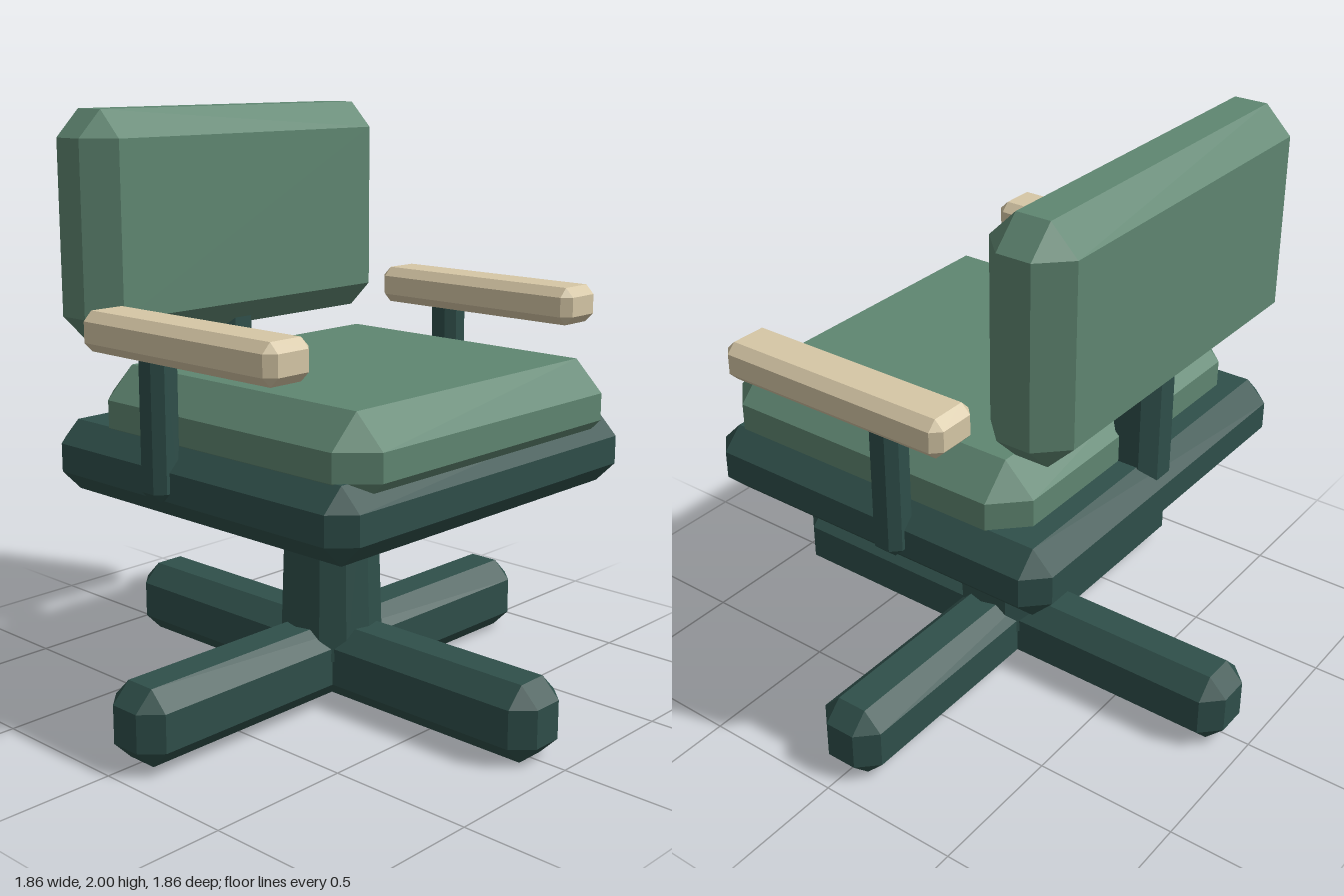
import * as THREE from 'three';
import { ConvexGeometry } from 'three/addons/geometries/ConvexGeometry.js';

const flat = (name, color) => {
  const m = new THREE.MeshStandardMaterial({ color });
  m.name = name;
  return m;
};

// Box with every edge cut at 45 degrees and small triangular corners
function chamferBox(w, h, d, c) {
  const pts = [];
  for (const sx of [-1, 1]) for (const sy of [-1, 1]) for (const sz of [-1, 1]) {
    const x = w / 2, y = h / 2, z = d / 2;
    pts.push(
      new THREE.Vector3(sx * x, sy * (y - c), sz * (z - c)),
      new THREE.Vector3(sx * (x - c), sy * y, sz * (z - c)),
      new THREE.Vector3(sx * (x - c), sy * (y - c), sz * z)
    );
  }
  return new ConvexGeometry(pts);
}

export function createModel() {
  const group = new THREE.Group();
  group.name = 'swivelArmchair';
  const frame = flat('darkTeal', 0x2f4f4a);
  const fabric = flat('sageGreen', 0x5f8671);
  const wood = flat('paleWood', 0xd6c7a6);

  const add = (name, geometry, material, x, y, z) => {
    const mesh = new THREE.Mesh(geometry, material);
    mesh.name = name;
    mesh.position.set(x, y, z);
    group.add(mesh);
    return mesh;
  };

  // Crossed foot beams
  add('footBeamSide', chamferBox(1.86, 0.26, 0.24, 0.065), frame, 0, 0.13, 0);
  add('footBeamFront', chamferBox(0.24, 0.26, 1.86, 0.065), frame, 0, 0.13, 0);

  // Tapered pedestal
  const column = new THREE.CylinderGeometry(0.16, 0.182, 0.65, 12).toNonIndexed();
  column.computeVertexNormals();
  add('pedestal', column, frame, 0, 0.475, 0);

  // Seat tray and cushion
  add('seatTray', chamferBox(1.43, 0.24, 1.35, 0.072), frame, 0, 0.86, 0.045);
  add('seatCushion', chamferBox(1.3, 0.3, 1.21, 0.104), fabric, 0, 1.025, 0.115);

  // Backrest on its post
  add('backPost', chamferBox(0.165, 0.6, 0.18, 0.045), frame, 0, 1.15, -0.52);
  add('backrest', chamferBox(1.36, 0.76, 0.295, 0.09), fabric, 0, 1.62, -0.512);

  // Armrests
  for (const [side, s] of [['left', 1], ['right', -1]]) {
    add(side + 'ArmPost', chamferBox(0.108, 0.5, 0.115, 0.03), frame, s * 0.703, 1.06, -0.068);
    add(side + 'ArmPad', chamferBox(0.184, 0.13, 0.86, 0.031), wood, s * 0.708, 1.325, 0.095);
  }
  return group;
}
